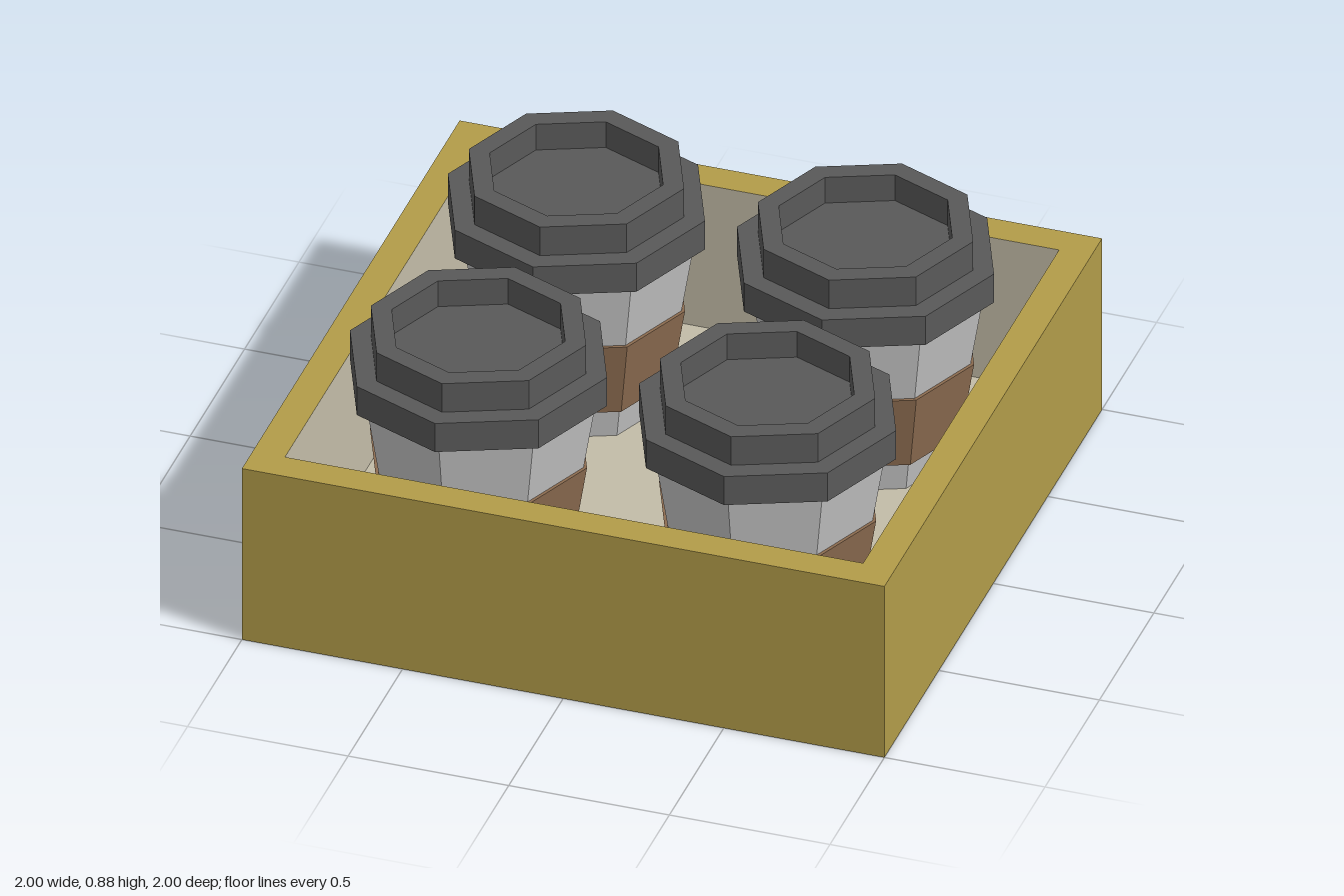
import * as THREE from 'three';

const paint = (name, color) => {
  const m = new THREE.MeshStandardMaterial({ color });
  m.name = name;
  return m;
};

// Faceted solid turned from a [radius, height] profile, listed from bottom to top.
function turned(name, profile, sides, material) {
  const points = profile.map(([r, y]) => new THREE.Vector2(r, y));
  const geometry = new THREE.LatheGeometry(points, sides).toNonIndexed();
  geometry.computeVertexNormals();
  const mesh = new THREE.Mesh(geometry, material);
  mesh.name = name;
  return mesh;
}

export function createModel() {
  const gold = paint('golden cardboard', 0xb29c49);
  const beige = paint('beige lining', 0xc3bca8);
  const white = paint('pale grey paper', 0xc4c4c4);
  const brown = paint('brown sleeve', 0x8c6c50);
  const charcoal = paint('charcoal lid', 0x595959);

  const model = new THREE.Group();
  model.name = 'cupTray';

  // Square tray: four-sided turnings, with half-widths turned into corner radii
  const square = (profile) => profile.map(([w, y]) => [w * Math.SQRT2, y]);
  const tray = new THREE.Group();
  tray.name = 'tray';
  tray.add(
    turned('trayShell', square([[0, 0], [1, 0], [1, 0.6], [0.9, 0.6]]), 4, gold),
    turned('trayLining', square([[0.9, 0.6], [0.9, 0.1], [0, 0.1]]), 4, beige),
  );
  tray.rotation.y = Math.PI / 4;
  model.add(tray);

  // Four octagonal cups
  for (const x of [-0.45, 0.45]) {
    for (const z of [-0.45, 0.45]) {
      const cup = new THREE.Group();
      cup.name = 'cup';
      cup.add(
        turned('cupBody', [[0, 0.101], [0.27, 0.101], [0.365, 0.68]], 8, white),
        turned('sleeve', [[0.286, 0.2], [0.298, 0.2], [0.338, 0.45], [0.325, 0.45]], 8, brown),
        // Lid with a wide brim, a raised rim and a sunken top
        turned('lid', [
          [0, 0.68], [0.4, 0.68], [0.4, 0.78], [0.335, 0.78],
          [0.335, 0.88], [0.27, 0.88], [0.27, 0.79], [0, 0.79],
        ], 8, charcoal),
      );
      cup.position.set(x, 0, z);
      model.add(cup);
    }
  }
  return model;
}
